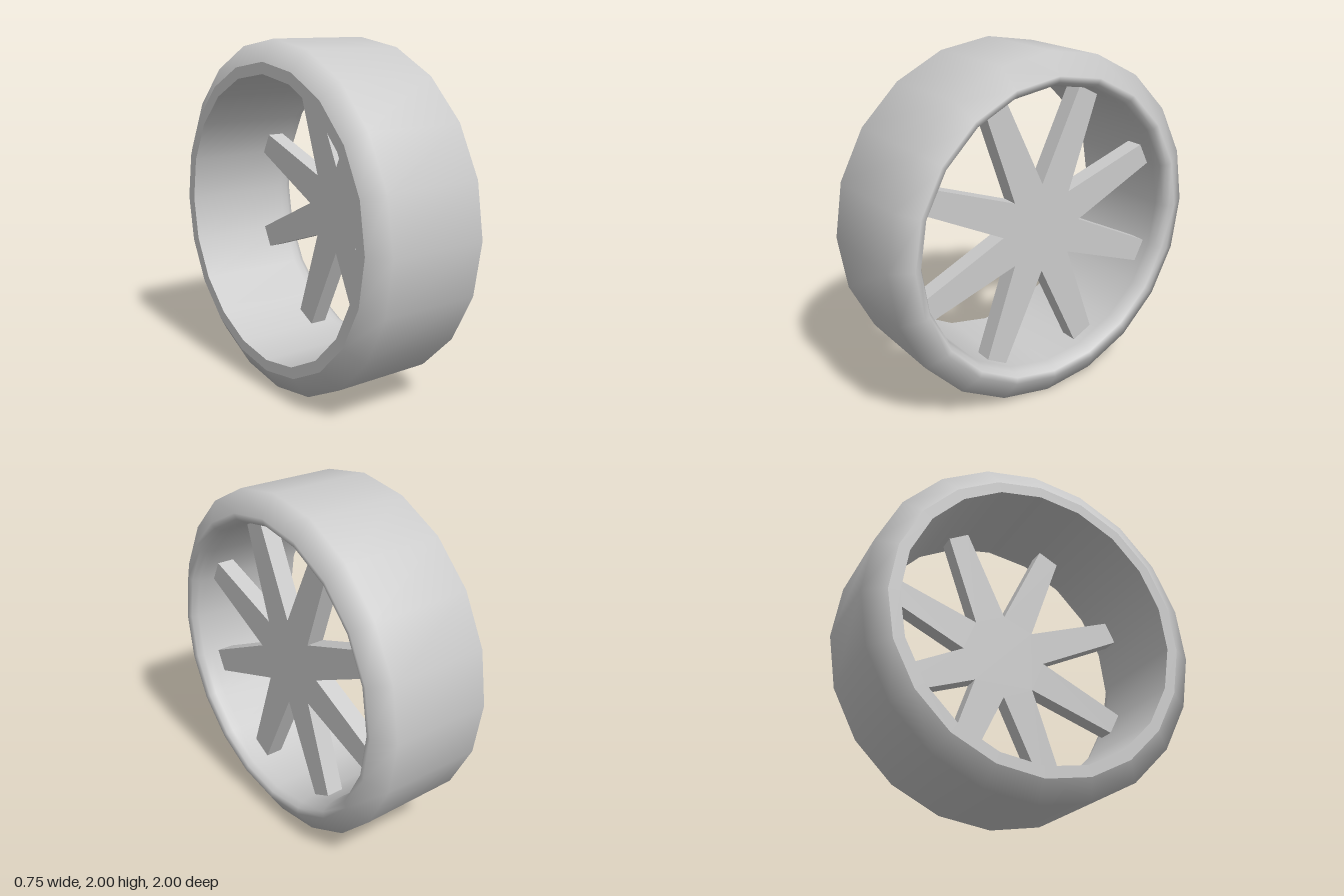
import * as THREE from 'three';

const material = new THREE.MeshStandardMaterial({ color: 0xcccccc });

// Ring turned around the x axis from [x, radius] points
function ring(name, profile) {
  const points = profile.map(([x, r]) => new THREE.Vector2(r, x));
  const geometry = new THREE.LatheGeometry(points, 20);
  geometry.rotateZ(-Math.PI / 2);
  const mesh = new THREE.Mesh(geometry, material);
  mesh.name = name;
  return mesh;
}

// Eight tapered spokes meeting in a solid star-shaped hub
function spokes() {
  const count = 8, notch = 0.26, tip = 0.825, halfWidth = 0.067;
  const points = [];
  for (let i = 0; i < count; i++) {
    const a = (i / count) * Math.PI * 2;
    const mid = a + Math.PI / count;
    const c = Math.cos(mid), s = Math.sin(mid);
    points.push(new THREE.Vector2(notch * Math.cos(a), notch * Math.sin(a)));
    for (const w of [-halfWidth, halfWidth]) {
      points.push(new THREE.Vector2(tip * c - w * s, tip * s + w * c));
    }
  }
  const geometry = new THREE.ExtrudeGeometry(new THREE.Shape(points), {
    depth: 0.105, bevelEnabled: false,
  });
  geometry.rotateY(Math.PI / 2);
  const mesh = new THREE.Mesh(geometry, material);
  mesh.name = 'spokes';
  mesh.position.x = 0.125;
  return mesh;
}

export function createModel() {
  const wheel = new THREE.Group();
  wheel.name = 'wheel';

  // Chamfered tread, rounded outer lip and inner barrel
  wheel.add(ring('tyre', [
    [-0.375, 0.88], [-0.3, 1], [0.3, 1], [0.375, 0.88],
    [0.365, 0.845], [0.33, 0.825], [0.28, 0.815], [-0.375, 0.815],
  ]));

  // Flat edge closing the open side
  wheel.add(ring('innerEdge', [[-0.375, 0.815], [-0.375, 0.88]]));

  wheel.add(spokes());
  wheel.position.y = 1;

  const model = new THREE.Group();
  model.name = 'spokedWheel';
  model.add(wheel);
  return model;
}
